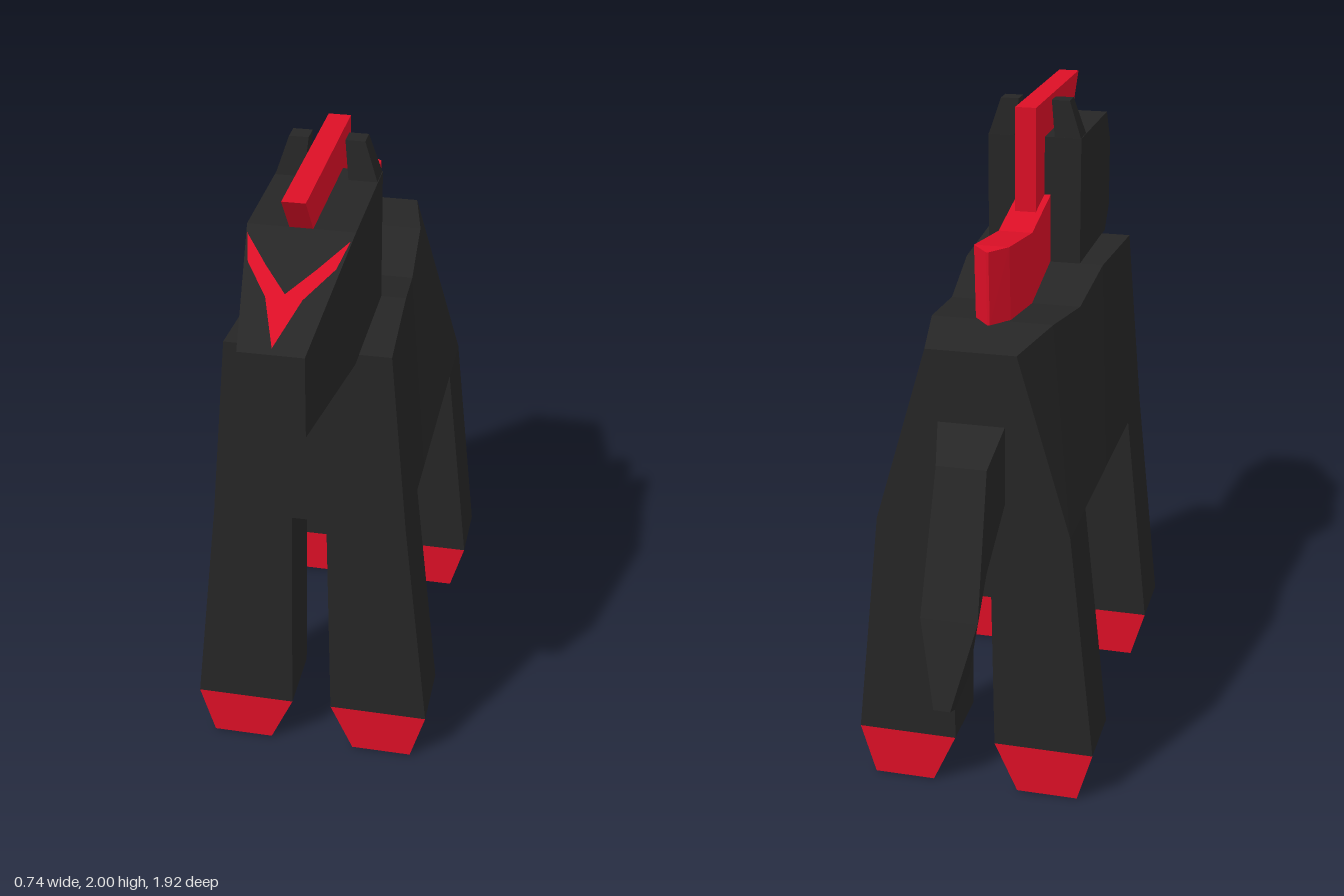
import * as THREE from 'three';

const black = new THREE.MeshStandardMaterial({ color: 0x262626, flatShading: true });
black.name = 'charcoal coat';
const red = new THREE.MeshStandardMaterial({ color: 0xdc0f26, flatShading: true });
red.name = 'red mane and hooves';

// Skin a list of rings (front to back, each counter-clockwise seen from +z).
function loft(rings) {
  const pos = [];
  const tri = (a, b, c) => pos.push(...a, ...b, ...c);
  const n = rings[0].length;
  for (let i = 0; i < rings.length - 1; i++) {
    for (let j = 0; j < n; j++) {
      const k = (j + 1) % n;
      const [a, b, c, d] = [rings[i][j], rings[i][k], rings[i + 1][k], rings[i + 1][j]];
      tri(a, d, c);
      tri(a, c, b);
    }
  }
  const first = rings[0], last = rings[rings.length - 1];
  for (let j = 1; j < n - 1; j++) {
    tri(first[0], first[j], first[j + 1]);
    tri(last[0], last[j + 1], last[j]);
  }
  const g = new THREE.BufferGeometry();
  g.setAttribute('position', new THREE.Float32BufferAttribute(pos, 3));
  g.computeVertexNormals();
  return g;
}

// Symmetric four-cornered ring from the top and bottom edges.
const section = ([zt, yt, wt, zb, yb, wb]) =>
  [[-wb, yb, zb], [wb, yb, zb], [wt, yt, zt], [-wt, yt, zt]];

const mirrorRing = (ring, side) =>
  side > 0 ? ring : ring.map(([x, y, z]) => [-x, y, z]).reverse();

const shapeOf = pts => new THREE.Shape(pts.map(([x, y]) => new THREE.Vector2(x, y)));

export function createModel() {
  const model = new THREE.Group();
  model.name = 'horse';
  const add = (name, geometry, material) => {
    const mesh = new THREE.Mesh(geometry, material);
    mesh.name = name;
    model.add(mesh);
  };

  // Trunk: wide flat belly, narrower dipped back
  add('body', loft([
    [0.53, 1.48, 0.245, 0.53, 0.89, 0.295],
    [0.17, 1.48, 0.225, 0.17, 0.89, 0.295],
    [-0.08, 1.42, 0.205, -0.08, 0.89, 0.295],
    [-0.365, 1.455, 0.185, -0.395, 0.89, 0.295],
    [-0.61, 1.44, 0.135, -0.61, 0.89, 0.295],
  ].map(section)), black);

  // Head with tapering muzzle
  add('head', loft([
    [0.96, 1.705, 0.09, 0.96, 1.465, 0.09],
    [0.58, 1.885, 0.15, 0.58, 1.478, 0.15],
    [0.17, 1.885, 0.15, 0.17, 1.478, 0.15],
  ].map(section)), black);

  // Legs and hooves, front and back on both sides
  for (const side of [1, -1]) {
    const sideName = side > 0 ? 'Left' : 'Right';
    for (const [end, z0, depth] of [['front', 0.31, 0.22], ['back', -0.61, 0.215]]) {
      const block = pts => new THREE.ExtrudeGeometry(
        shapeOf(pts.map(([x, y]) => [x * side, y])), { depth, bevelEnabled: false }
      ).translate(0, 0, z0);
      add(`${end}${sideName}Leg`,
        block([[0.063, 0.16], [0.372, 0.16], [0.295, 0.89], [0.053, 0.89]]), black);
      add(`${end}${sideName}Hoof`,
        block([[0.135, 0], [0.325, 0], [0.372, 0.16], [0.063, 0.16]]), red);
    }

    // Ears
    add(`ear${sideName}`, loft([
      [[0.065, 1.88, 0.25], [0.15, 1.88, 0.25], [0.11, 2, 0.235], [0.053, 2, 0.235]],
      [[0.065, 1.88, 0.17], [0.15, 1.88, 0.17], [0.11, 2, 0.178], [0.053, 2, 0.178]],
    ].map(r => mirrorRing(r, side))), black);
  }

  // Tail
  add('tail', loft([
    [-0.61, 1.22, 0.1, -0.61, 0.98, 0.1],
    [-0.72, 1.13, 0.075, -0.73, 0.81, 0.075],
    [-0.87, 0.72, 0.085, -0.86, 0.545, 0.055],
    [-0.957, 0.475, 0.025, -0.91, 0.455, 0.025],
  ].map(section)), black);

  // Mane along the neck, ending in a vertical wedge
  add('neckMane', loft([
    [0.17, 1.7, 0.053, 0.17, 1.475, 0.053],
    [-0.08, 1.645, 0.053, -0.08, 1.42, 0.053],
    [-0.365, 1.682, 0.053, -0.352, 1.455, 0.053],
    [-0.418, 1.678, 0.004, -0.408, 1.453, 0.004],
  ].map(section)), red);

  // Crest over the head, its outline drawn from the side
  const crest = [[0.67, 2], [0.58, 1.885], [0.17, 1.885], [0.17, 1.66], [0.05, 1.66], [0.05, 2]];
  add('headCrest', new THREE.ExtrudeGeometry(
    shapeOf(crest.map(([z, y]) => [-z, y])), { depth: 0.066, bevelEnabled: false }
  ).translate(0, 0, -0.033).rotateY(Math.PI / 2), red);

  // V-shaped marking lying on the sloping face
  const half = [[0.142, 0.612], [0.12, 0.7], [0.05, 0.8]];
  const mark = [
    ...half, [0, 0.945], ...half.map(([x, z]) => [-x, z]).reverse(),
    [-0.07, 0.705], [0, 0.787], [0.07, 0.705],
  ];
  const marking = new THREE.ShapeGeometry(shapeOf(mark.map(([x, z]) => [x, -z])));
  marking.rotateX(-Math.PI / 2);
  const p = marking.attributes.position;
  for (let i = 0; i < p.count; i++) p.setY(i, 1.889 - (p.getZ(i) - 0.58) * 0.474);
  marking.computeVertexNormals();
  add('faceMarking', marking, red);

  return model;
}
